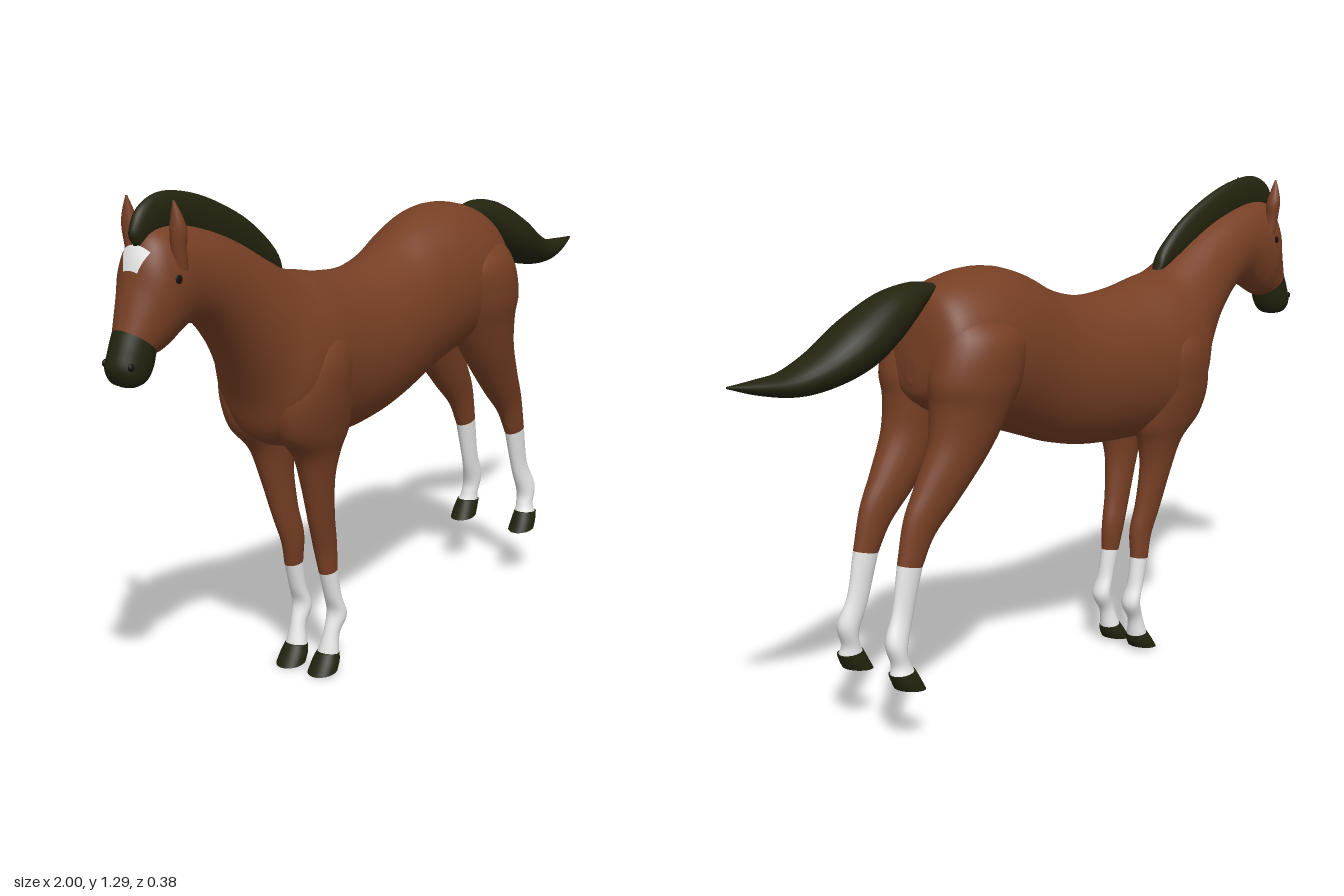
import * as THREE from 'three';

const paint = (name, color) => Object.assign(new THREE.MeshStandardMaterial({ color }), { name });

// Smooth skin through sections [topX, topY, bottomX, bottomY, halfWidth, z].
// Returns a function giving the point at position t and angle a (0 = top edge).
function skin(sections, side = 1) {
  const curve = (f) => new THREE.CatmullRomCurve3(sections.map(f), false, 'catmullrom', 0.5);
  const tops = curve((s) => new THREE.Vector3(s[0], s[1], 0));
  const bottoms = curve((s) => new THREE.Vector3(s[2], s[3], 0));
  const widths = curve((s) => new THREE.Vector3(s[4], s[5] || 0, 0));
  return (t, a, swell = 1) => {
    const top = tops.getPoint(t), bottom = bottoms.getPoint(t), w = widths.getPoint(t);
    const centre = top.clone().add(bottom).multiplyScalar(0.5);
    const p = centre.clone().addScaledVector(top.sub(centre), Math.cos(a) * swell);
    p.z = side * w.y + Math.max(w.x, 0.001) * Math.sin(a) * swell;
    return p;
  };
}

// Grid of quads from a point function of (row, column), each 0..1
function grid(point, rows, cols, closed) {
  const pos = [], index = [];
  const stride = closed ? cols : cols + 1;
  for (let i = 0; i <= rows; i++)
    for (let j = 0; j < stride; j++) pos.push(...point(i / rows, j / cols).toArray());
  for (let i = 0; i < rows; i++)
    for (let j = 0; j < cols; j++) {
      const k = (j + 1) % stride;
      const a = i * stride + j, b = i * stride + k, c = a + stride, d = b + stride;
      index.push(a, c, b, b, c, d);
    }
  // flat caps on both ends of a closed tube
  if (closed) {
    for (const end of [0, 1]) {
      const start = pos.length / 3, mid = new THREE.Vector3();
      for (let j = 0; j < cols; j++) {
        const p = point(end, j / cols);
        mid.addScaledVector(p, 1 / cols);
        pos.push(...p.toArray());
      }
      pos.push(...mid.toArray());
      for (let j = 0; j < cols; j++) {
        const a = start + j, b = start + (j + 1) % cols;
        if (end) index.push(a, start + cols, b);
        else index.push(a, b, start + cols);
      }
    }
  }
  const geo = new THREE.BufferGeometry();
  geo.setAttribute('position', new THREE.Float32BufferAttribute(pos, 3));
  geo.setIndex(index);
  geo.computeVertexNormals();
  return geo;
}

function loft(sections, side = 1, cols = 28) {
  const surface = skin(sections, side);
  return grid((t, s) => surface(t, s * Math.PI * 2), (sections.length - 1) * 6, cols, true);
}

// Rump to muzzle line, upper outline then lower outline
const BODY = [
  [0.462, 0.93, 0.464, 0.87, 0.02], [0.44, 1.04, 0.452, 0.83, 0.10], [0.40, 1.10, 0.40, 0.79, 0.145],
  [0.30, 1.13, 0.30, 0.74, 0.165], [0.20, 1.13, 0.20, 0.715, 0.16], [0.10, 1.10, 0.10, 0.68, 0.149],
  [0, 1.05, 0, 0.645, 0.146], [-0.12, 1.02, -0.12, 0.62, 0.15], [-0.25, 1.025, -0.26, 0.61, 0.154],
  [-0.36, 1.045, -0.40, 0.615, 0.163], [-0.43, 1.06, -0.51, 0.655, 0.152], [-0.50, 1.095, -0.555, 0.76, 0.125],
  [-0.60, 1.15, -0.62, 0.87, 0.10], [-0.70, 1.19, -0.70, 0.96, 0.088], [-0.80, 1.215, -0.765, 0.985, 0.08],
  [-0.88, 1.21, -0.81, 0.968, 0.08], [-0.918, 1.165, -0.84, 0.952, 0.077], [-0.94, 1.095, -0.865, 0.94, 0.064],
  [-0.97, 1.005, -0.882, 0.938, 0.05],
];
const MUZZLE = [
  [-0.97, 1.005, -0.882, 0.938, 0.05], [-0.988, 0.965, -0.892, 0.905, 0.049], [-1.0, 0.925, -0.915, 0.882, 0.046],
  [-0.988, 0.893, -0.945, 0.876, 0.03], [-0.97, 0.88, -0.96, 0.877, 0.005],
];
const MANE = [
  [-0.42, 1.055, -0.42, 1.03, 0.01], [-0.45, 1.115, -0.44, 1.04, 0.02], [-0.54, 1.19, -0.53, 1.08, 0.021],
  [-0.66, 1.25, -0.65, 1.14, 0.021], [-0.76, 1.28, -0.76, 1.17, 0.021], [-0.84, 1.286, -0.83, 1.18, 0.021],
  [-0.90, 1.26, -0.87, 1.18, 0.02], [-0.926, 1.215, -0.895, 1.17, 0.014], [-0.922, 1.19, -0.905, 1.17, 0.004],
];
// Tail runs backwards, so its lower outline comes first
const TAIL = [
  [0.40, 1.085, 0.395, 1.108, 0.022], [0.44, 1.045, 0.46, 1.116, 0.04], [0.52, 0.98, 0.55, 1.10, 0.065],
  [0.61, 0.927, 0.65, 1.052, 0.079], [0.71, 0.898, 0.75, 0.99, 0.068], [0.81, 0.89, 0.84, 0.953, 0.05],
  [0.91, 0.908, 0.92, 0.945, 0.028], [0.995, 0.936, 0.995, 0.941, 0.003],
];
// Legs run downwards: front outline, back outline, half width, z
const FORELEG = {
  upper: [
    [-0.44, 0.98, -0.34, 0.97, 0.03, 0.08], [-0.49, 0.87, -0.30, 0.86, 0.078, 0.09], [-0.525, 0.76, -0.28, 0.76, 0.082, 0.082],
    [-0.51, 0.67, -0.275, 0.66, 0.066, 0.076], [-0.447, 0.60, -0.297, 0.60, 0.049, 0.07], [-0.415, 0.52, -0.31, 0.53, 0.037, 0.065],
    [-0.38, 0.41, -0.30, 0.43, 0.029, 0.058], [-0.352, 0.33, -0.283, 0.35, 0.026, 0.052], [-0.337, 0.268, -0.283, 0.275, 0.022, 0.055],
  ],
  sock: [
    [-0.337, 0.268, -0.283, 0.275, 0.022, 0.055], [-0.315, 0.20, -0.272, 0.20, 0.023, 0.056], [-0.30, 0.155, -0.254, 0.143, 0.028, 0.056],
    [-0.315, 0.11, -0.277, 0.093, 0.021, 0.054], [-0.335, 0.05, -0.282, 0.045, 0.029, 0.051],
  ],
  hoof: [[-0.336, 0.054, -0.28, 0.046, 0.03, 0.051], [-0.355, 0.027, -0.283, 0.03, 0.036, 0.051], [-0.372, 0.001, -0.292, 0.012, 0.038, 0.051]],
};
const HINDLEG = {
  upper: [
    [0.25, 1.06, 0.39, 1.07, 0.03, 0.06], [0.195, 0.98, 0.435, 0.99, 0.088, 0.088], [0.20, 0.88, 0.468, 0.89, 0.096, 0.091],
    [0.245, 0.79, 0.464, 0.82, 0.084, 0.087], [0.312, 0.69, 0.475, 0.735, 0.064, 0.088], [0.402, 0.585, 0.52, 0.64, 0.046, 0.084],
    [0.475, 0.51, 0.56, 0.56, 0.032, 0.082], [0.515, 0.44, 0.585, 0.455, 0.024, 0.083],
  ],
  sock: [
    [0.515, 0.44, 0.585, 0.455, 0.024, 0.083], [0.55, 0.32, 0.606, 0.345, 0.02, 0.085], [0.576, 0.25, 0.634, 0.272, 0.026, 0.092],
    [0.572, 0.215, 0.62, 0.215, 0.024, 0.095], [0.56, 0.19, 0.626, 0.188, 0.029, 0.099],
  ],
  hoof: [[0.56, 0.196, 0.63, 0.19, 0.03, 0.099], [0.545, 0.168, 0.622, 0.172, 0.034, 0.1], [0.53, 0.14, 0.612, 0.152, 0.036, 0.1]],
};
// Ears run upwards: back outline first
const EAR = [
  [-0.825, 1.12, -0.86, 1.13, 0.016, 0.066], [-0.832, 1.17, -0.868, 1.18, 0.018, 0.068], [-0.833, 1.21, -0.87, 1.215, 0.02, 0.07],
  [-0.845, 1.245, -0.868, 1.245, 0.013, 0.07], [-0.86, 1.277, -0.864, 1.277, 0.002, 0.068],
];

export function createModel() {
  const coat = paint('chestnut coat', 0x773f24);
  const dark = paint('dark hair and hoof', 0x23230f);
  const white = paint('white marking', 0xe8e8e8);
  const black = paint('eye black', 0x15110c);

  const model = new THREE.Group();
  model.name = 'horse';
  const add = (name, geo, mat, parent = model) => {
    const mesh = new THREE.Mesh(geo, mat);
    mesh.name = name;
    parent.add(mesh);
    return mesh;
  };

  add('body', loft(BODY, 1, 48), coat);
  add('muzzle', loft(MUZZLE, 1, 32), dark);
  add('mane', loft(MANE), dark);
  add('tail', loft(TAIL), dark);

  // forehead marking, lying just above the skin
  const face = skin(BODY), last = BODY.length - 1;
  add('foreheadMarking', grid((t, s) => {
    const spread = 0.5 - 0.22 * t;
    return face((15.75 + t * 0.85) / last, (s * 2 - 1) * spread, 1.025);
  }, 8, 12, false), white);

  for (const side of [1, -1]) {
    const label = side > 0 ? 'near' : 'far';
    for (const [name, leg] of [['Foreleg', FORELEG], ['Hindleg', HINDLEG]]) {
      const group = new THREE.Group();
      group.name = label + name;
      model.add(group);
      add('upperLeg', loft(leg.upper, side), coat, group);
      add('sock', loft(leg.sock, side), white, group);
      add('hoof', loft(leg.hoof, side), dark, group);
    }
    add(label + 'Ear', loft(EAR, side, 16), coat);

    const eye = add(label + 'Eye', new THREE.SphereGeometry(0.016, 16, 12), black);
    eye.position.set(-0.86, 1.105, side * 0.072);
    eye.scale.z = 0.5;
    const nostril = add(label + 'Nostril', new THREE.SphereGeometry(0.009, 12, 8), black);
    nostril.position.set(-0.978, 0.93, side * 0.038);
    nostril.scale.z = 0.6;
  }
  return model;
}
